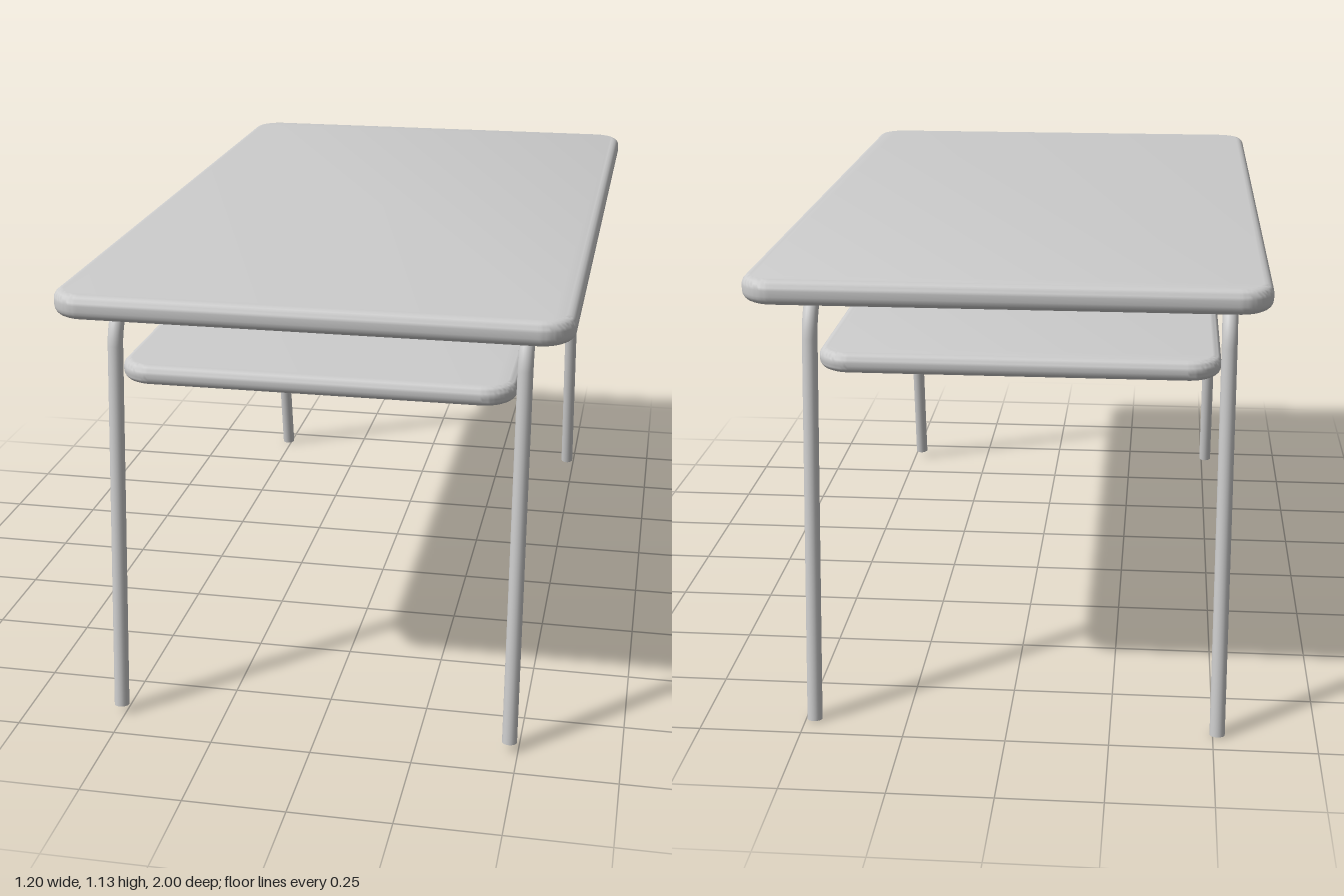
import * as THREE from 'three';
import { mergeVertices, toCreasedNormals } from 'three/addons/utils/BufferGeometryUtils.js';

const material = new THREE.MeshStandardMaterial({ color: 0xcccccc });

// Horizontal board with rounded corners and softened edges
function board(name, width, depth, yBottom, yTop, corner, edge) {
  const x = width / 2 - edge, z = depth / 2 - edge, r = corner - edge;
  const shape = new THREE.Shape();
  shape.absarc(x - r, z - r, r, 0, Math.PI / 2);
  shape.absarc(-x + r, z - r, r, Math.PI / 2, Math.PI);
  shape.absarc(-x + r, -z + r, r, Math.PI, Math.PI * 1.5);
  shape.absarc(x - r, -z + r, r, Math.PI * 1.5, Math.PI * 2);
  shape.closePath();
  let geo = new THREE.ExtrudeGeometry(shape, {
    depth: yTop - yBottom - 2 * edge, bevelEnabled: true,
    bevelSize: edge, bevelThickness: edge, bevelSegments: 5, curveSegments: 10,
  });
  geo.translate(0, 0, edge).rotateX(-Math.PI / 2);
  geo.deleteAttribute('uv');
  geo.deleteAttribute('normal');
  geo = toCreasedNormals(mergeVertices(geo, 1e-5), 0.7);
  const mesh = new THREE.Mesh(geo, material);
  mesh.name = name;
  mesh.position.y = yBottom;
  return mesh;
}

// Bent tube: front leg, rail under the top, back leg
function legFrame(name, x, radius) {
  const p = (z, y) => new THREE.Vector3(0, y, z);
  const path = new THREE.CurvePath();
  const bend = (a, corner, b) => new THREE.CubicBezierCurve3(
    a, a.clone().lerp(corner, 0.56), b.clone().lerp(corner, 0.56), b);
  path.add(new THREE.LineCurve3(p(0.9, 0.022), p(0.79, 0.95)));
  path.add(bend(p(0.79, 0.95), p(0.778, 1.051), p(0.685, 1.051)));
  path.add(new THREE.LineCurve3(p(0.685, 1.051), p(-0.69, 1.051)));
  path.add(bend(p(-0.69, 1.051), p(-0.786, 1.051), p(-0.8, 0.95)));
  path.add(new THREE.LineCurve3(p(-0.8, 0.95), p(-0.934, 0.003)));

  const group = new THREE.Group();
  group.name = name;
  group.position.x = x;
  const tube = new THREE.Mesh(new THREE.TubeGeometry(path, 200, radius, 20), material);
  tube.name = 'bentTube';
  group.add(tube);

  // Flat caps closing the feet
  for (const [t, sign] of [[0, -1], [1, 1]]) {
    const cap = new THREE.Mesh(new THREE.CircleGeometry(radius, 20), material);
    cap.name = 'footCap';
    cap.position.copy(path.getPointAt(t));
    const outward = path.getTangentAt(t).multiplyScalar(sign);
    cap.quaternion.setFromUnitVectors(new THREE.Vector3(0, 0, 1), outward);
    group.add(cap);
  }
  return group;
}

export function createModel() {
  const table = new THREE.Group();
  table.name = 'table';
  table.add(board('tableTop', 1.2, 2, 1.076, 1.134, 0.08, 0.022));

  const shelf = board('shelf', 0.955, 1.7, 0.872, 0.92, 0.08, 0.02);
  shelf.position.x = -0.017;
  table.add(shelf);

  table.add(legFrame('rightLegFrame', -0.511, 0.0185));
  table.add(legFrame('leftLegFrame', 0.478, 0.0185));
  return table;
}
